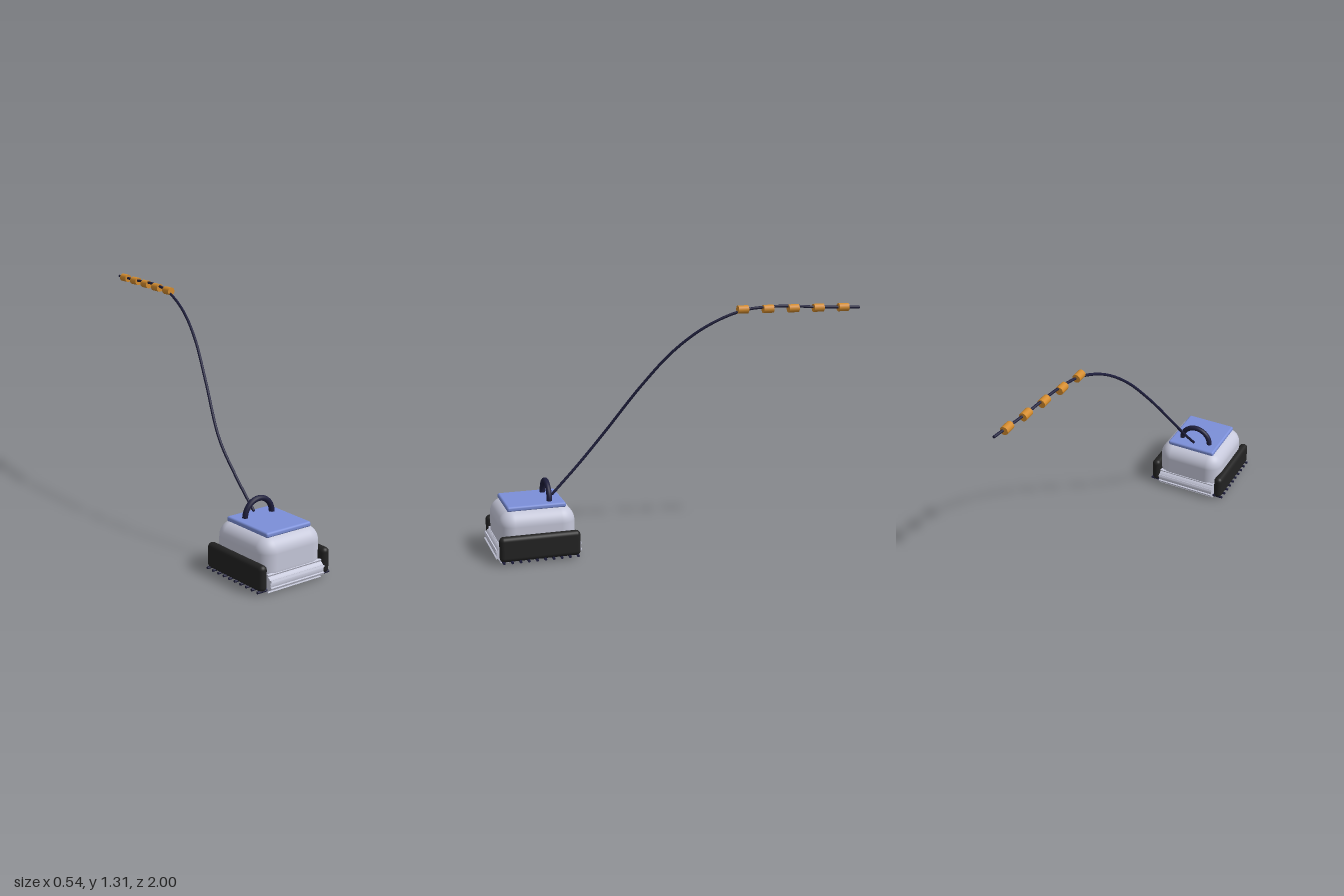
import * as THREE from 'three';
import { RoundedBoxGeometry } from 'three/addons/geometries/RoundedBoxGeometry.js';

export function createModel() {
  const model = new THREE.Group();
  model.name = 'poolCleaner';
  const mat = (name, color) => {
    const m = new THREE.MeshStandardMaterial({ color });
    m.name = name;
    return m;
  };
  const silver = mat('silver', 0xc6c8da);
  const blue = mat('lidBlue', 0x7b8fd9);
  const black = mat('trackBlack', 0x222222);
  const navy = mat('navy', 0x1e1e3c);
  const orange = mat('floatOrange', 0xd48c2e);

  const add = (parent, name, geometry, material, x, y, z) => {
    const mesh = new THREE.Mesh(geometry, material);
    mesh.name = name;
    mesh.position.set(x, y, z);
    parent.add(mesh);
    return mesh;
  };

  // Robot, centred under its own origin
  const robot = new THREE.Group();
  robot.name = 'robot';
  robot.position.set(-0.035, 0, 0.768);
  model.add(robot);

  add(robot, 'body', new RoundedBoxGeometry(0.392, 0.245, 0.41, 8, 0.08), silver, 0, 0.1525, 0);
  add(robot, 'chassis', new THREE.BoxGeometry(0.35, 0.07, 0.34), silver, 0, 0.065, 0);
  add(robot, 'lid', new RoundedBoxGeometry(0.292, 0.028, 0.316, 4, 0.011), blue, 0, 0.28, 0);

  // Arched carrying handle
  add(robot, 'handle', new THREE.TorusGeometry(0.088, 0.015, 12, 32, Math.PI), navy, 0, 0.293, -0.08);

  // Tracks with a row of grip bars underneath
  const barGeometry = new THREE.CylinderGeometry(0.007, 0.007, 0.062, 10).rotateZ(Math.PI / 2);
  for (const side of [-1, 1]) {
    const track = new THREE.Group();
    track.name = side > 0 ? 'leftTrack' : 'rightTrack';
    track.position.x = side * 0.205;
    robot.add(track);
    add(track, 'belt', new RoundedBoxGeometry(0.05, 0.136, 0.432, 6, 0.024), black, 0, 0.087, 0);
    for (let i = 0; i < 10; i++) {
      add(track, 'gripBar', barGeometry, navy, 0, 0.02, -0.198 + i * 0.044);
    }
  }

  // Finned brush rollers, front and back
  for (const end of [-1, 1]) {
    const roller = new THREE.Group();
    roller.name = end > 0 ? 'frontRoller' : 'backRoller';
    roller.position.set(0, 0.052, end * 0.183);
    robot.add(roller);
    add(roller, 'drum', new THREE.CylinderGeometry(0.044, 0.044, 0.35, 24).rotateZ(Math.PI / 2), silver, 0, 0, 0);
    for (let i = 0; i < 8; i++) {
      const a = (i + 0.5) * Math.PI / 4;
      const fin = add(roller, 'fin', new THREE.BoxGeometry(0.35, 0.014, 0.012), silver,
        0, Math.cos(a) * 0.045, Math.sin(a) * 0.045);
      fin.rotation.x = a;
    }
  }

  // Floating cable
  const path = new THREE.CatmullRomCurve3([
    [-0.037, 0.305, 0.65], [-0.04, 0.46, 0.5], [-0.035, 0.62, 0.36], [0.025, 0.88, 0.165],
    [0.08, 1.07, 0], [0.125, 1.2, -0.17], [0.16, 1.28, -0.36], [0.185, 1.298, -0.52],
    [0.2, 1.298, -0.635], [0.22, 1.29, -0.77], [0.257, 1.285, -1],
  ].map((p) => new THREE.Vector3(...p)));
  add(model, 'cable', new THREE.TubeGeometry(path, 120, 0.0075, 10), navy, 0, 0, 0);
  add(model, 'cableStart', new THREE.SphereGeometry(0.0075, 10, 8), navy, -0.037, 0.305, 0.65);
  const tip = add(model, 'cableEnd', new THREE.CircleGeometry(0.0075, 10), navy, 0.257, 1.285, -1);
  tip.rotation.y = Math.PI;

  // Floats threaded on the cable
  const floatGeometry = new THREE.CylinderGeometry(0.022, 0.022, 0.058, 20).rotateX(Math.PI / 2);
  for (let i = 0; i < 5; i++) {
    add(model, 'float', floatGeometry, orange, 0.16 + i * 0.02, 1.286, -0.36 - i * 0.1375);
  }
  return model;
}
